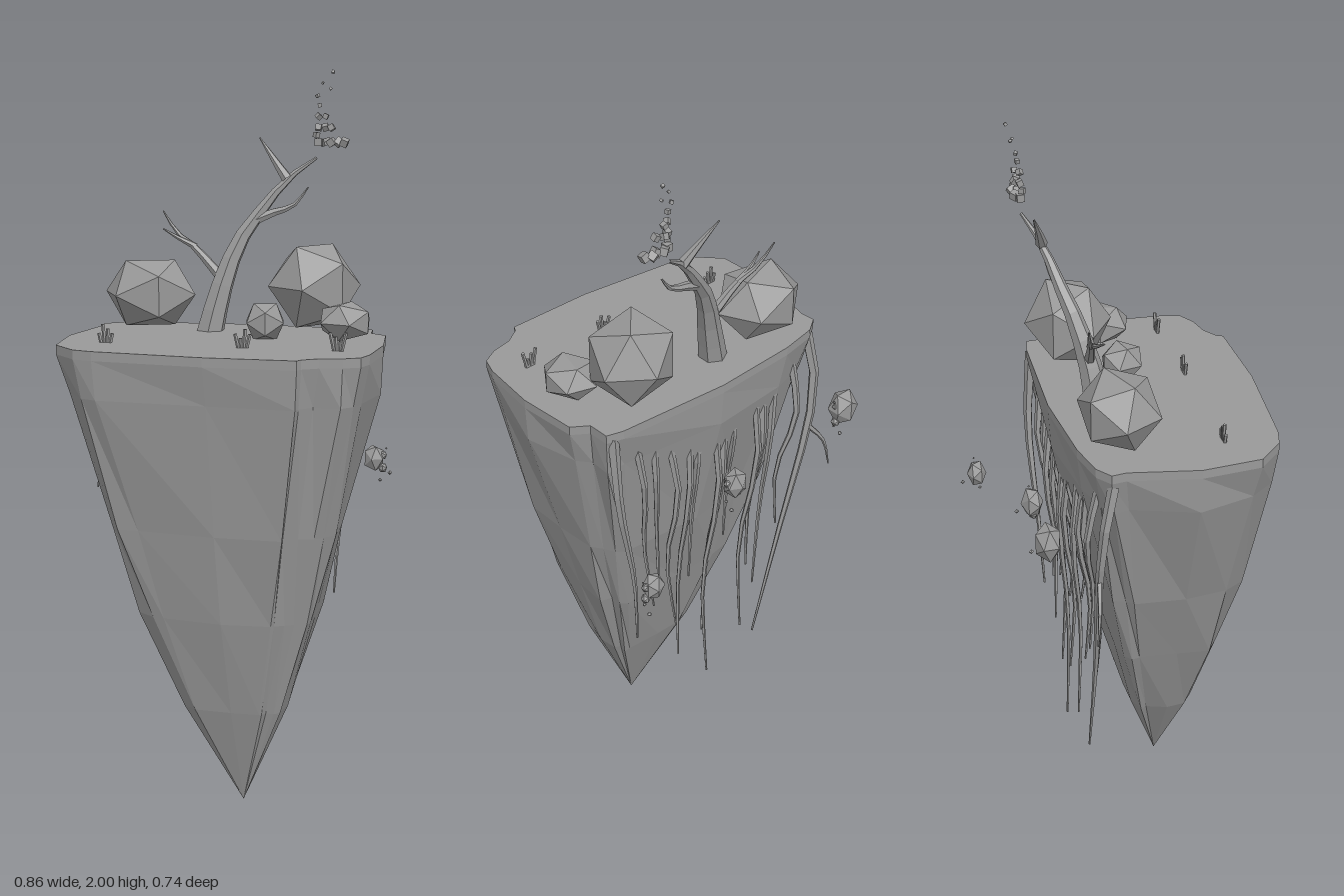
import * as THREE from 'three';
import { mergeGeometries } from 'three/addons/utils/BufferGeometryUtils.js';

const stone = new THREE.MeshStandardMaterial({ color: 0x999999, flatShading: true });
stone.name = 'stone grey';

function add(group, name, geometry) {
  const mesh = new THREE.Mesh(geometry, stone);
  mesh.name = name;
  group.add(mesh);
  return mesh;
}

// Island: one outline shrunk ring by ring towards an off-centre tip
function islandGeometry() {
  const outline = [
    [-0.39, -0.14], [-0.386, -0.1], [-0.428, 0.086], [-0.419, 0.25], [-0.354, 0.318], [-0.3, 0.334],
    [0, 0.369], [0.245, 0.37], [0.254, 0.353], [0.296, 0.327], [0.354, 0.316], [0.398, 0.292],
    [0.414, 0.244], [0.43, 0.086], [0.416, -0.08], [0.372, -0.11], [0.37, -0.17], [0.323, -0.183],
    [0, -0.204], [-0.243, -0.19], [-0.347, -0.17],
  ];
  const tip = [0.063, 0.12];
  const levels = [[1.29, 1], [1.265, 1], [1.16, 0.955], [0.8, 0.73], [0.55, 0.555], [0.28, 0.325], [0, 0]];
  const rings = levels.map(([y, s], k) => outline.map(([x, z], i) => {
    const f = k < 2 ? s : s * (1 + 0.035 * Math.sin(i * 2.3 + k * 1.7));
    return [tip[0] + (x - tip[0]) * f, y, tip[1] + (z - tip[1]) * f];
  }));
  const pos = [];
  const n = outline.length;
  for (let i = 0; i < n; i++) {
    const j = (i + 1) % n;
    pos.push(0, 1.29, 0.08, ...rings[0][i], ...rings[0][j]);
    for (let k = 0; k < rings.length - 1; k++) {
      const a = rings[k], b = rings[k + 1];
      pos.push(...a[i], ...b[i], ...b[j]);
      pos.push(...a[i], ...b[j], ...a[j]);
    }
  }
  const g = new THREE.BufferGeometry();
  g.setAttribute('position', new THREE.Float32BufferAttribute(pos, 3));
  g.computeVertexNormals();
  return g;
}

// Tapered tube through points
function limb(points, r0, r1, sides = 6, segs = 6) {
  const curve = new THREE.CatmullRomCurve3(points.map((p) => new THREE.Vector3(...p)));
  const g = new THREE.TubeGeometry(curve, segs, 1, sides);
  const p = g.attributes.position;
  const v = new THREE.Vector3();
  for (let i = 0; i < p.count; i++) {
    const t = Math.floor(i / (sides + 1)) / segs;
    const c = curve.getPointAt(t);
    v.fromBufferAttribute(p, i).sub(c).multiplyScalar(r0 + (r1 - r0) * t).add(c);
    p.setXYZ(i, v.x, v.y, v.z);
  }
  return g;
}

// Faceted boulder stretched to the given radii
function rock(center, radii, turn = 0) {
  return new THREE.IcosahedronGeometry(1.06, 0).rotateY(turn).scale(...radii).translate(...center);
}

export function createModel() {
  const model = new THREE.Group();
  model.name = 'floatingIsland';
  add(model, 'island', islandGeometry());

  // Boulders on the ground
  add(model, 'boulderLeft', rock([-0.24, 1.39, -0.077], [0.125, 0.1, 0.105], 0.4));
  add(model, 'boulderRight', rock([0.217, 1.42, -0.09], [0.122, 0.122, 0.112], 0.9));
  add(model, 'boulderSmall', rock([0.102, 1.335, 0.03], [0.055, 0.055, 0.06], 0.2));
  add(model, 'boulderFlat', rock([0.32, 1.343, 0.032], [0.074, 0.053, 0.08], 1.3));

  // Leaning bare tree
  add(model, 'trunk', limb([[-0.075, 1.27, -0.08], [-0.045, 1.4, -0.095], [0, 1.53, -0.125],
    [0.06, 1.62, -0.155], [0.125, 1.7, -0.18], [0.2, 1.757, -0.215]], 0.04, 0.004, 6, 8));
  const branches = [
    [[-0.04, 1.43, -0.1], [-0.13, 1.52, -0.12], [-0.175, 1.55, -0.135], [-0.22, 1.61, -0.15]],
    [[-0.12, 1.515, -0.12], [-0.17, 1.54, -0.115], [-0.21, 1.565, -0.105]],
    [[0.04, 1.59, -0.145], [0.09, 1.61, -0.155], [0.145, 1.63, -0.16], [0.185, 1.68, -0.17]],
    [[0.125, 1.7, -0.18], [0.09, 1.745, -0.195], [0.04, 1.81, -0.22]],
  ];
  branches.forEach((b, i) => add(model, 'branch' + (i + 1), limb(b, i === 1 ? 0.01 : 0.016, 0.002)));

  // Small bits drifting off the tree top: [x, y, size, z]
  const bits = [];
  [[5, 1.8, 0.02], [3, 1.84, 0.016], [2, 1.87, 0.014]].forEach(([n, y, s]) => {
    for (let i = 0; i < n; i++) bits.push([0.205 + i * 0.018, y, s, -0.215 - (i % 2) * 0.01]);
  });
  bits.push([0.2, 1.82, 0.014, -0.21], [0.207, 1.9, 0.011, -0.22], [0.2, 1.925, 0.009, -0.225],
    [0.235, 1.945, 0.007, -0.23], [0.213, 1.96, 0.006, -0.23], [0.24, 1.99, 0.008, -0.24]);
  add(model, 'driftingBits', mergeGeometries(bits.map(([x, y, s, z], i) =>
    new THREE.BoxGeometry(s, s, s).rotateY(i * 0.7).rotateZ(i * 0.3).translate(x, y, z))));

  // Short tufts on the ground
  [[-0.3, 0.184], [0.073, 0.198], [0.325, 0.198]].forEach(([x, z], t) => {
    const stems = [];
    for (let i = 0; i < 4; i++) {
      const h = 0.03 + 0.012 * ((i * 2 + t) % 3);
      stems.push(new THREE.CylinderGeometry(0.005, 0.005, h, 5)
        .rotateZ((1.5 - i) * 0.15).translate(x + (i - 1.5) * 0.01, 1.285 + h / 2, z));
    }
    add(model, 'tuft' + (t + 1), mergeGeometries(stems));
  });

  // Rocks floating behind, each with little companions
  [[-0.356, 1.1, -0.3, 0.042], [0, 0.995, -0.255, 0.035], [0.358, 0.89, -0.333, 0.031]].forEach(([x, y, z, r], i) => {
    const g = new THREE.Group();
    g.name = 'floatingRock' + (i + 1);
    g.position.set(x, y, z);
    add(g, 'rockBody', rock([0, 0, 0], [r, r * 1.25, r * 0.85], i));
    add(g, 'rockLump', rock([i === 1 ? -0.01 : 0.026, -r * 0.9, 0], [0.013, 0.014, 0.012]));
    add(g, 'rockLumpSide', rock([0.026, r * 0.3, 0], [0.012, 0.012, 0.01]));
    [[0.043, -0.05, -0.034, 0.007], [0.02, -0.062, 0.012, 0.006], [0.035, 0.03, 0, 0.004]].forEach(([a, b, c, s]) =>
      add(g, 'rockChip', new THREE.OctahedronGeometry(s).translate(a, b, c)));
    model.add(g);
  });

  // Long forked roots at the two back corners
  add(model, 'rootLeft', limb([[-0.375, 1.25, -0.13], [-0.385, 1.1, -0.16], [-0.36, 0.95, -0.165],
    [-0.28, 0.63, -0.155], [-0.185, 0.27, -0.15]], 0.016, 0.003, 5, 8));
  add(model, 'rootLeftFork', limb([[-0.36, 0.96, -0.165], [-0.415, 0.885, -0.18], [-0.43, 0.8, -0.19]], 0.009, 0.002, 5));
  add(model, 'rootRight', limb([[0.345, 1.27, -0.165], [0.34, 1.05, -0.18], [0.285, 0.75, -0.17], [0.27, 0.53, -0.16]],
    0.016, 0.003, 5, 8));

  // Roots hanging down the back: [top x, bottom x, top y, bottom y]
  const roots = [
    [0.27, 0.2, 1.25, 0.6], [0.2, 0.17, 1.24, 0.62], [0.16, 0.13, 1.2, 0.5], [0.08, 0.11, 1.24, 0.36],
    [0.04, 0.06, 1.22, 0.62], [0.0, 0.01, 1.24, 0.24], [-0.05, 0.02, 1.18, 0.4], [-0.09, -0.07, 1.22, 0.7],
    [-0.15, -0.12, 1.24, 0.34], [-0.19, -0.15, 1.18, 0.55], [-0.24, -0.19, 1.24, 0.45], [-0.3, -0.25, 1.2, 0.66],
  ];
  roots.forEach(([x0, x1, y0, y1], i) => {
    const at = (t, dx, z) => [x0 + (x1 - x0) * t + dx, y0 + (y1 - y0) * t, z];
    const sway = 0.015 * Math.sin(i * 2.1);
    add(model, 'hangingRoot' + (i + 1), limb([at(0, 0, -0.15), at(0.3, sway, -0.175 + sway * 0.5),
      at(0.65, -sway, -0.14 + sway), at(1, 0, -0.15 + sway)], 0.012, 0.003, 5, 7));
  });
  return model;
}
